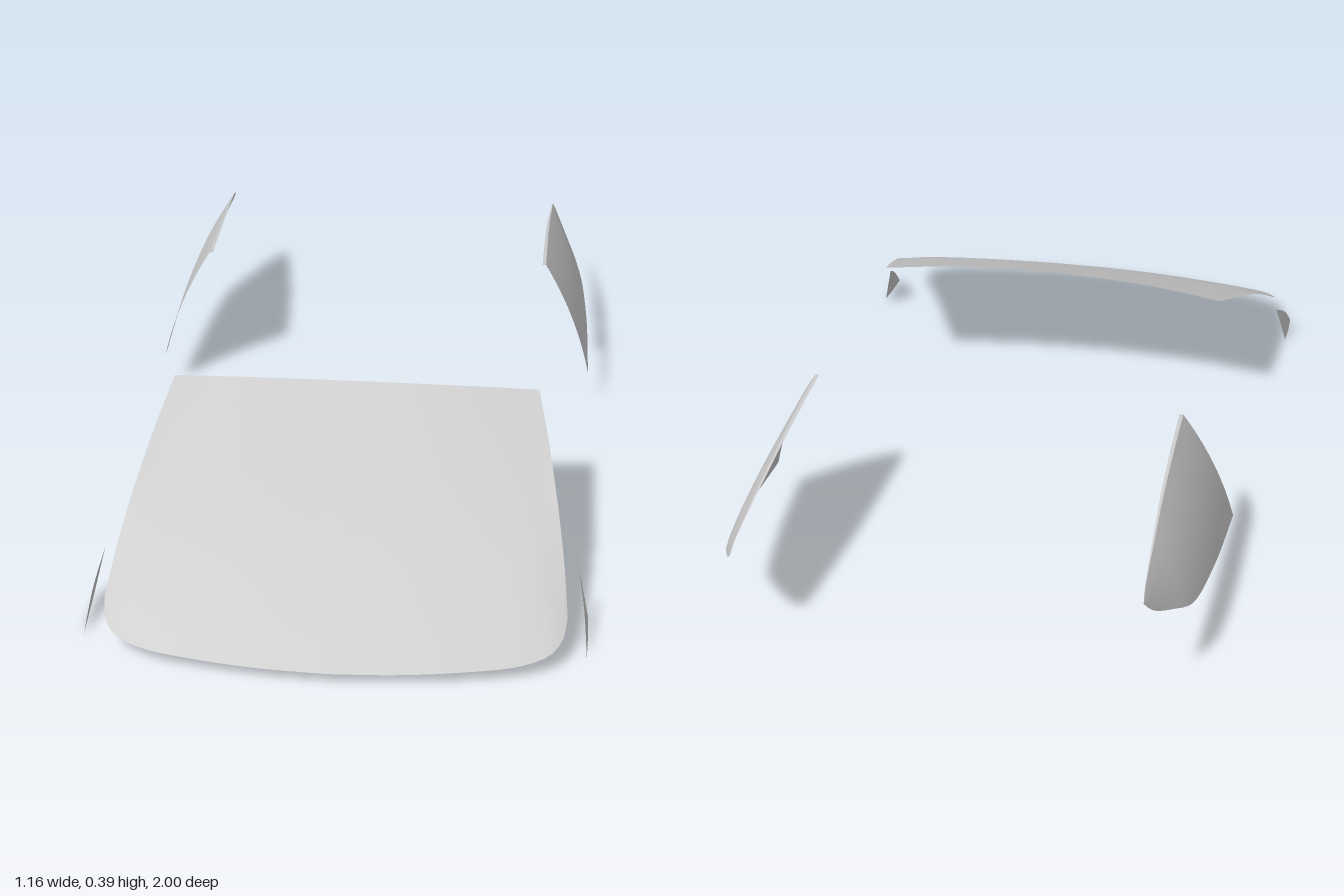
import * as THREE from 'three';

const glass = new THREE.MeshStandardMaterial({ color: 0xcccccc, side: THREE.DoubleSide });
const curve = (...pts) => new THREE.CatmullRomCurve3(pts.map(p => new THREE.Vector3(...p)), false, 'centripetal');

// Grid surface from a rule fn(u, v) -> Vector3, mirrored to -x when side is -1
function patch(name, nu, nv, fn, side = 1) {
  const pos = [], idx = [];
  for (let j = 0; j <= nv; j++) {
    for (let i = 0; i <= nu; i++) {
      const p = fn(side > 0 ? i / nu : 1 - i / nu, j / nv);
      pos.push(p.x * side, p.y, p.z);
    }
  }
  for (let j = 0; j < nv; j++) {
    for (let i = 0; i < nu; i++) {
      const a = j * (nu + 1) + i, b = a + 1, c = a + nu + 1, d = c + 1;
      idx.push(a, c, b, b, c, d);
    }
  }
  const g = new THREE.BufferGeometry();
  g.setAttribute('position', new THREE.Float32BufferAttribute(pos, 3));
  g.setIndex(idx);
  g.computeVertexNormals();
  const mesh = new THREE.Mesh(g, glass);
  mesh.name = name;
  return mesh;
}

// Windshield: half patch blended from its four border curves, mirrored over x = 0
function windshield() {
  const top = curve([0, 0.38, 0.28], [0.25, 0.374, 0.271], [0.445, 0.36, 0.25]);
  const bottom = curve([0, 0.03, 1], [0.15, 0.031, 0.993], [0.29, 0.033, 0.975], [0.43, 0.038, 0.945],
    [0.495, 0.048, 0.91], [0.522, 0.063, 0.865], [0.53, 0.085, 0.815]);
  const centre = curve([0, 0.38, 0.28], [0, 0.231, 0.6], [0, 0.113, 0.84], [0, 0.03, 1]);
  const edge = curve([0.445, 0.36, 0.25], [0.472, 0.3, 0.39], [0.502, 0.216, 0.58], [0.52, 0.145, 0.71], [0.53, 0.085, 0.815]);
  return patch('windshield', 48, 24, (s, v) => {
    const x = s * 2 - 1, u = Math.abs(x);
    const p = top.getPointAt(u).lerp(bottom.getPointAt(u), v);
    p.add(centre.getPointAt(v).lerp(edge.getPointAt(v), u));
    const corners = top.getPoint(0).lerp(top.getPoint(1), u)
      .lerp(bottom.getPoint(0).lerp(bottom.getPoint(1), u), v);
    p.sub(corners);
    p.x *= Math.sign(x);
    return p;
  });
}

// Rear quarter window: bowed pane between a top and a bottom curve, with a narrow top return
function quarterWindow(side) {
  const tip = [0.464, 0.282, -1];
  const top = curve([0.449, 0.39, -0.38], [0.451, 0.379, -0.53], [0.454, 0.358, -0.7],
    [0.459, 0.325, -0.87], [0.462, 0.299, -0.975], tip);
  const bottom = curve([0.573, 0.095, -0.335], [0.566, 0.13, -0.6], [0.545, 0.163, -0.81],
    [0.517, 0.2, -0.89], [0.48, 0.25, -0.975], tip);
  const group = new THREE.Group();
  group.name = side > 0 ? 'leftQuarterWindow' : 'rightQuarterWindow';
  group.add(patch('quarterPane', 30, 10, (u, v) => {
    const a = top.getPointAt(u), b = bottom.getPointAt(u);
    const bow = 0.16 * v * (1 - v) * a.distanceTo(b);
    a.lerp(b, v);
    a.x += bow;
    a.y += bow * 0.4;
    return a;
  }, side));
  group.add(patch('quarterTopReturn', 30, 1, (u, v) => {
    const p = top.getPointAt(u);
    p.x -= 0.009 * (1 - v) * (1 - u * u);
    return p;
  }, side));
  return group;
}

// Small triangular pane beside the windshield base
function cornerWindow(side) {
  const upper = curve([0.577, 0, 0.85], [0.568, 0.07, 0.765], [0.553, 0.125, 0.67]);
  const lower = curve([0.577, 0, 0.85], [0.579, 0.004, 0.775], [0.579, 0.015, 0.705]);
  return patch(side > 0 ? 'leftCornerWindow' : 'rightCornerWindow', 8, 4,
    (u, v) => upper.getPoint(u).lerp(lower.getPoint(u), v), side);
}

export function createModel() {
  const model = new THREE.Group();
  model.name = 'vehicleGlass';
  model.add(windshield());
  for (const side of [1, -1]) model.add(quarterWindow(side), cornerWindow(side));
  return model;
}
